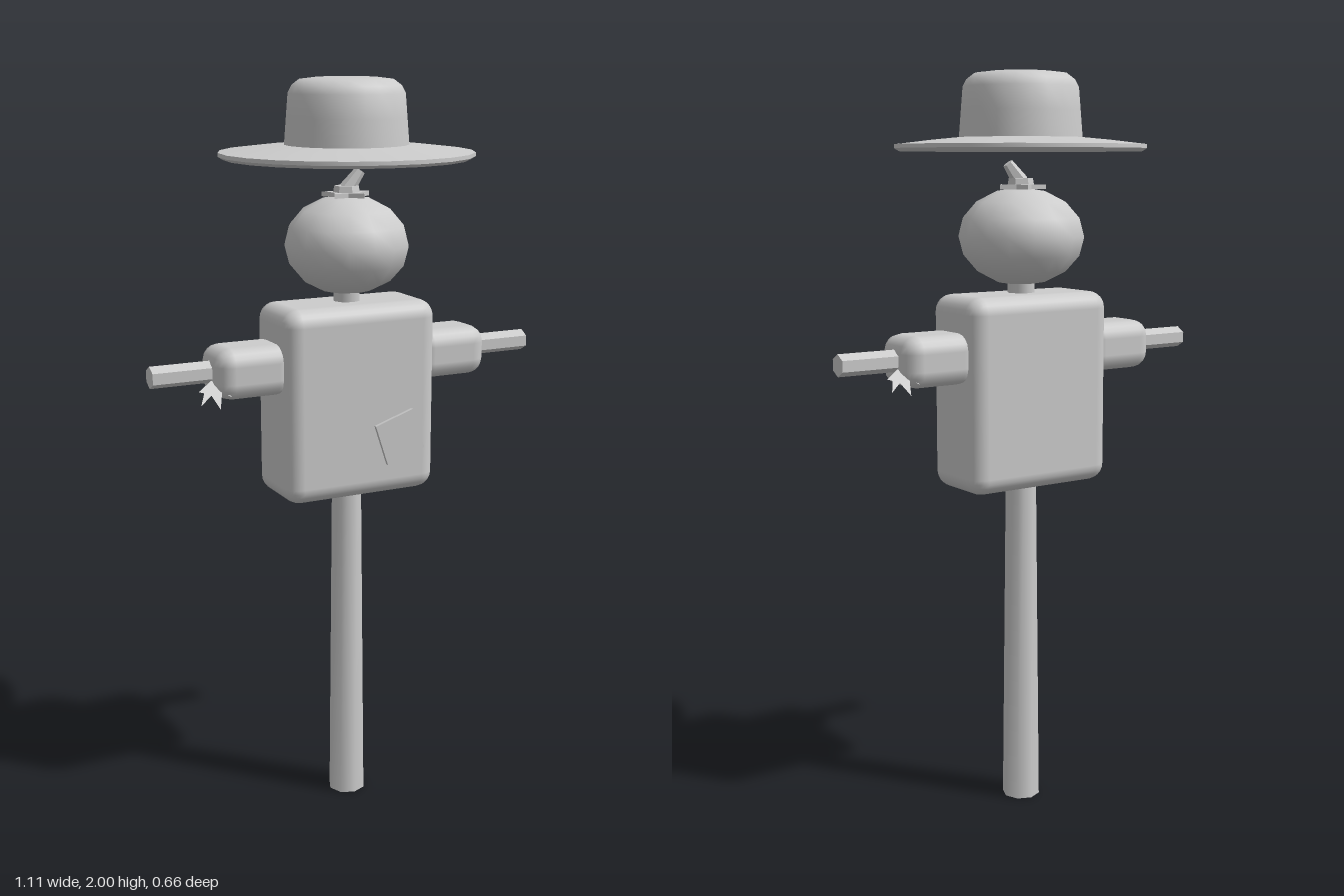
import * as THREE from 'three';
import { toCreasedNormals } from 'three/addons/utils/BufferGeometryUtils.js';
import { RoundedBoxGeometry } from 'three/addons/geometries/RoundedBoxGeometry.js';

export function createModel() {
  const model = new THREE.Group();
  model.name = 'scarecrow';
  const grey = new THREE.MeshStandardMaterial({ color: 0xcccccc });
  grey.name = 'plain grey';
  grey.side = THREE.DoubleSide;

  const add = (name, geometry, x = 0, y = 0, z = 0) => {
    const mesh = new THREE.Mesh(geometry, grey);
    mesh.name = name;
    mesh.position.set(x, y, z);
    model.add(mesh);
    return mesh;
  };
  const creased = (geometry, angle = 0.5) => toCreasedNormals(geometry, angle);
  const lathe = (points, sides) => {
    const geometry = new THREE.LatheGeometry(points.map(([r, y]) => new THREE.Vector2(r, y)), sides);
    geometry.rotateY(Math.PI / 2);
    return creased(geometry, 0.7);
  };

  // Post, running up through the body to form the neck
  add('post', creased(new THREE.CylinderGeometry(0.036, 0.052, 1.5, 8), 0.9), 0, 0.75, 0);

  // Crossbar for the arms, six-sided with a corner upwards
  const bar = new THREE.CylinderGeometry(0.029, 0.029, 1.11, 6);
  bar.rotateY(Math.PI / 6);
  bar.rotateZ(Math.PI / 2);
  add('armBar', creased(bar), 0, 1.27, 0);

  // Stuffed shirt with a crooked patch
  add('body', new RoundedBoxGeometry(0.44, 0.52, 0.22, 3, 0.045), 0, 1.165, 0);
  const patch = add('patch', new THREE.BoxGeometry(0.117, 0.117, 0.02), 0.102, 1.065, 0.11);
  patch.rotation.z = 0.32;

  // Sleeves and straw tufts; the tufts are half a turn apart
  const straw = [[0.36, 0.03], [0.363, 0.09], [0.382, 0.07], [0.405, 0.127], [0.414, 0.078],
    [0.452, 0.11], [0.43, 0.068], [0.443, 0.062], [0.4, 0.03]];
  const tuft = new THREE.ShapeGeometry(new THREE.Shape(straw.map(([u, v]) => new THREE.Vector2(u, -v))));
  tuft.rotateX(0.95);
  for (const side of [1, -1]) {
    const label = side > 0 ? 'left' : 'right';
    add(label + 'Sleeve', new RoundedBoxGeometry(0.21, 0.135, 0.16, 2, 0.045), side * 0.29, 1.267, 0);
    const hand = add(label + 'Straw', tuft, 0, 1.268, 0);
    hand.rotation.y = side > 0 ? 0 : Math.PI;
  }

  // Pumpkin head: a squashed sphere with shallow ribs
  const head = new THREE.SphereGeometry(0.17, 16, 8);
  const p = head.attributes.position;
  for (let i = 0; i < p.count; i++) {
    const angle = Math.atan2(p.getZ(i), p.getX(i));
    const rib = 0.98 + 0.02 * Math.cos(8 * angle);
    p.setXYZ(i, p.getX(i) * rib, p.getY(i) * 0.76, p.getZ(i) * rib);
  }
  add('head', creased(head, 0.8), 0, 1.573, 0);

  // Leaf collar and bent stem
  const star = new THREE.Shape();
  for (let i = 0; i < 10; i++) {
    const r = i % 2 ? 0.035 : 0.066, a = i * Math.PI / 5;
    star[i ? 'lineTo' : 'moveTo'](r * Math.cos(a), r * Math.sin(a));
  }
  const collar = new THREE.ExtrudeGeometry(star, { depth: 0.012, bevelEnabled: false });
  collar.rotateX(-Math.PI / 2);
  add('leafCollar', collar, 0, 1.697, 0);
  add('stemBase', creased(new THREE.CylinderGeometry(0.032, 0.038, 0.035, 6)), 0, 1.708, 0);
  const stem = add('stem', creased(new THREE.CylinderGeometry(0.014, 0.022, 0.06, 6)), 0.018, 1.74, 0.005);
  stem.rotation.set(0.2, 0, -0.6);

  // Wide hat
  add('hatBrim', lathe([[0, 1.8], [0.15, 1.798], [0.32, 1.795], [0.333, 1.803], [0.333, 1.813],
    [0.24, 1.824], [0.155, 1.832]], 22));
  add('hatCrown', lathe([[0.163, 1.826], [0.157, 1.9], [0.152, 1.96], [0.142, 1.979], [0.122, 1.994],
    [0.08, 1.999], [0, 2]], 22));

  return model;
}
